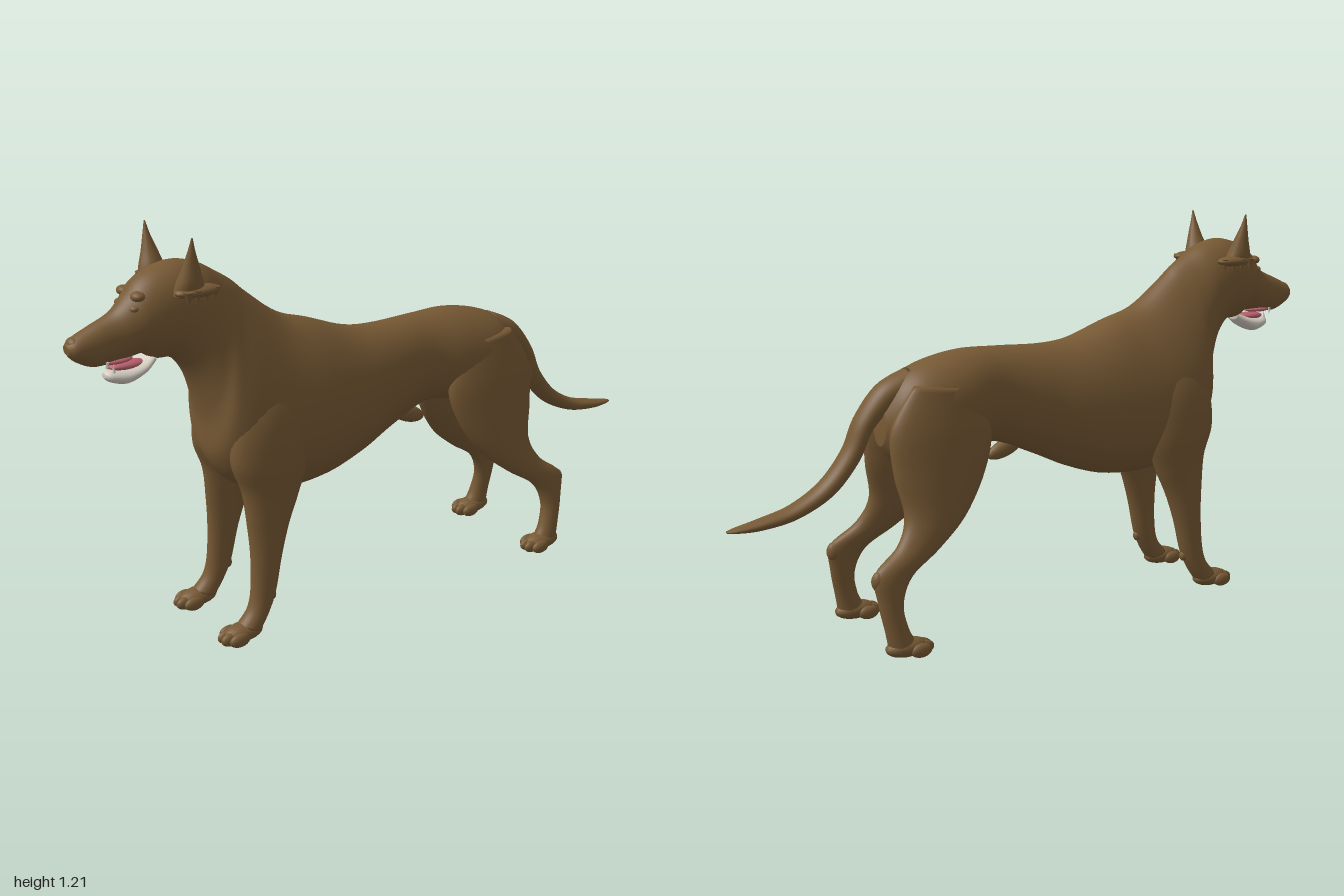
import * as THREE from 'three';

const coat = new THREE.MeshStandardMaterial({ color: 0x775934 });
coat.name = 'brown coat';
const ivory = new THREE.MeshStandardMaterial({ color: 0xd6cec2 });
ivory.name = 'ivory jaw';
const pink = new THREE.MeshStandardMaterial({ color: 0xb9616c });
pink.name = 'pink tongue';

// Smooth skin through oval sections [zA, yA, zB, yB, halfWidth, centreX, egg]:
// A and B are opposite ends of the oval in side profile; egg widens the B end.
function loft(name, sections, { side = 1, material = coat, sides = 32, steps = 6 } = {}) {
  const rows = sections.map(s => [...s, 0, 0].slice(0, 7));
  const rings = (rows.length - 1) * steps;
  const pos = [], index = [];
  const at = (i, k) => rows[Math.min(Math.max(i, 0), rows.length - 1)][k];
  for (let r = 0; r <= rings; r++) {
    const i = Math.min(Math.floor(r / steps), rows.length - 2), t = r / steps - i;
    const [zA, yA, zB, yB, w, cx, egg] = rows[0].map((_, k) => {
      const a = at(i - 1, k), b = at(i, k), c = at(i + 1, k), d = at(i + 2, k);
      return b + 0.5 * t * (c - a + t * (2 * a - 5 * b + 4 * c - d + t * (3 * (b - c) + d - a)));
    });
    for (let j = 0; j < sides; j++) {
      const a = j / sides * Math.PI * 2, c = Math.cos(a), s = Math.sin(a);
      pos.push(side * cx + w * s * (1 - egg * c),
        (yA + yB) / 2 + (yA - yB) / 2 * c, (zA + zB) / 2 + (zA - zB) / 2 * c);
    }
  }
  for (const r of [0, rings]) {
    const p = [0, 0, 0];
    for (let j = 0; j < sides; j++) for (let k = 0; k < 3; k++) p[k] += pos[(r * sides + j) * 3 + k] / sides;
    pos.push(...p);
  }
  const first = (rings + 1) * sides;
  for (let j = 0; j < sides; j++) {
    const n = (j + 1) % sides;
    for (let r = 0; r < rings; r++) {
      const a = r * sides + j, b = r * sides + n;
      index.push(a, b, a + sides, b, b + sides, a + sides);
    }
    index.push(first, n, j, first + 1, rings * sides + j, rings * sides + n);
  }
  // Turn the faces outward when the sections run the other way
  let volume = 0;
  const v = [0, 1, 2].map(() => new THREE.Vector3());
  for (let f = 0; f < index.length; f += 3) {
    v.forEach((p, k) => p.fromArray(pos, index[f + k] * 3));
    volume += v[0].dot(v[1].clone().cross(v[2]));
  }
  if (volume < 0) index.reverse();
  const g = new THREE.BufferGeometry();
  g.setAttribute('position', new THREE.Float32BufferAttribute(pos, 3));
  g.setIndex(index);
  g.computeVertexNormals();
  const mesh = new THREE.Mesh(g, material);
  mesh.name = name;
  return mesh;
}

function ball(name, [x, y, z], [rx, ry, rz], material = coat) {
  const mesh = new THREE.Mesh(new THREE.SphereGeometry(1, 20, 14), material);
  mesh.name = name;
  mesh.position.set(x, y, z);
  mesh.scale.set(rx, ry, rz);
  return mesh;
}

function spike(name, [x, y, z], r, h, material, down = false) {
  const mesh = new THREE.Mesh(new THREE.ConeGeometry(r, h, 10), material);
  mesh.name = name;
  mesh.position.set(x, y, z);
  if (down) mesh.rotation.x = Math.PI;
  return mesh;
}

// Pad and four toes, with the two middle toes reaching further forward
function paw(name, side, x, heelZ, toeZ) {
  const g = new THREE.Group();
  g.name = name;
  g.add(ball('pad', [0, 0.028, (heelZ + toeZ) / 2 - 0.012], [0.036, 0.028, (toeZ - heelZ) / 2 - 0.005]));
  for (let i = 0; i < 4; i++) {
    const middle = i === 1 || i === 2;
    g.add(ball('toe', [(i - 1.5) * 0.021, 0.021, toeZ - (middle ? 0.033 : 0.05)], [0.0145, 0.021, 0.033]));
  }
  g.position.x = side * x;
  return g;
}

export function createModel() {
  const dog = new THREE.Group();
  dog.name = 'dog';

  // Rump, trunk, neck, skull and muzzle in one skin
  dog.add(loft('body', [
    [-0.54, 0.69, -0.545, 0.58, 0.04],
    [-0.49, 0.765, -0.50, 0.53, 0.095],
    [-0.42, 0.81, -0.40, 0.53, 0.125],
    [-0.29, 0.84, -0.28, 0.54, 0.122],
    [-0.15, 0.84, -0.17, 0.55, 0.10],
    [0, 0.835, -0.03, 0.495, 0.115],
    [0.11, 0.847, 0.09, 0.44, 0.135, 0, 0.05],
    [0.24, 0.893, 0.22, 0.40, 0.15, 0, 0.12],
    [0.35, 0.93, 0.37, 0.395, 0.158, 0, 0.22],
    [0.45, 1.005, 0.515, 0.44, 0.153, 0, 0.3],
    [0.495, 1.045, 0.59, 0.535, 0.135, 0, 0.3],
    [0.54, 1.075, 0.605, 0.66, 0.112, 0, 0.15],
    [0.60, 1.11, 0.64, 0.78, 0.102],
    [0.67, 1.127, 0.69, 0.853, 0.098],
    [0.74, 1.114, 0.75, 0.865, 0.092, 0.002],
    [0.79, 1.088, 0.785, 0.886, 0.079, 0.005],
    [0.825, 1.05, 0.815, 0.884, 0.063, 0.008],
    [0.865, 1.013, 0.86, 0.878, 0.049, 0.01],
    [0.93, 0.985, 0.925, 0.874, 0.042, 0.012],
    [0.98, 0.962, 0.975, 0.897, 0.035, 0.014],
    [0.998, 0.945, 0.995, 0.918, 0.018, 0.014],
  ], { sides: 48 }));

  dog.add(loft('tail', [
    [-0.45, 0.80, -0.45, 0.71, 0.05, 0.005],
    [-0.54, 0.755, -0.495, 0.69, 0.05, 0.01],
    [-0.61, 0.665, -0.56, 0.63, 0.045, 0.015],
    [-0.65, 0.575, -0.605, 0.54, 0.042, 0.018],
    [-0.72, 0.49, -0.685, 0.45, 0.04, 0.02],
    [-0.81, 0.435, -0.795, 0.395, 0.036, 0.02],
    [-0.90, 0.41, -0.90, 0.377, 0.03, 0.02],
    [-0.97, 0.395, -0.97, 0.378, 0.02, 0.02],
    [-1.0, 0.388, -1.0, 0.382, 0.008, 0.02],
  ]));

  const sheath = ball('sheath', [0.01, 0.52, -0.12], [0.022, 0.027, 0.065]);
  sheath.rotation.x = -0.35;
  dog.add(sheath);

  // Open mouth
  dog.add(loft('lowerJaw', [
    [0.75, 0.888, 0.75, 0.855, 0.03, 0.005],
    [0.785, 0.868, 0.785, 0.83, 0.042, 0.006],
    [0.835, 0.857, 0.835, 0.811, 0.04, 0.008],
    [0.88, 0.856, 0.88, 0.822, 0.028, 0.01],
    [0.895, 0.85, 0.895, 0.835, 0.012, 0.01],
  ], { material: ivory }));
  dog.add(ball('tongue', [0.008, 0.861, 0.825], [0.027, 0.013, 0.055], pink));
  dog.add(ball('palate', [0.01, 0.882, 0.86], [0.033, 0.01, 0.05], pink));
  dog.add(ball('noseTip', [0.014, 0.945, 0.975], [0.026, 0.02, 0.02]));

  for (const side of [1, -1]) {
    // Face details
    dog.add(spike('lowerTooth', [0.01 + side * 0.022, 0.865, 0.875], 0.005, 0.025, ivory));
    dog.add(spike('upperTooth', [0.012 + side * 0.028, 0.876, 0.895], 0.005, 0.024, ivory, true));
    dog.add(ball('brow', [0.005 + side * 0.042, 1.053, 0.80], [0.024, 0.014, 0.02]));
    dog.add(ball('eyelid', [0.006 + side * 0.045, 1.022, 0.812], [0.016, 0.011, 0.016]));

    // Upright pointed ear with a ragged lower flap
    const ear = new THREE.Group();
    ear.name = side > 0 ? 'leftEar' : 'rightEar';
    ear.add(loft('earBlade', [
      [0.725, 1.05, 0.625, 1.05, 0.03, 0.105],
      [0.717, 1.085, 0.64, 1.085, 0.034, 0.109],
      [0.702, 1.13, 0.655, 1.13, 0.022, 0.12],
      [0.69, 1.175, 0.67, 1.175, 0.01, 0.13],
      [0.682, 1.21, 0.678, 1.21, 0.002, 0.136],
    ], { side, sides: 16 }));
    ear.add(ball('earFlap', [side * 0.115, 1.062, 0.66], [0.033, 0.017, 0.068]));
    for (let i = 0; i < 4; i++)
      ear.add(spike('flapPoint', [side * (0.14 - i * 0.006), 1.05, 0.70 - i * 0.029], 0.015, 0.038, coat, true));
    dog.add(ear);

    // Front leg from shoulder blade to wrist
    const front = new THREE.Group();
    front.name = side > 0 ? 'leftFrontLeg' : 'rightFrontLeg';
    front.add(loft('foreLimb', [
      [0.48, 0.82, 0.38, 0.80, 0.02, 0.09],
      [0.555, 0.68, 0.34, 0.67, 0.058, 0.108],
      [0.575, 0.55, 0.33, 0.52, 0.066, 0.112],
      [0.545, 0.45, 0.365, 0.41, 0.053, 0.115],
      [0.535, 0.35, 0.40, 0.33, 0.042, 0.121],
      [0.53, 0.25, 0.43, 0.24, 0.036, 0.127],
      [0.535, 0.15, 0.457, 0.13, 0.032, 0.131],
      [0.55, 0.09, 0.485, 0.07, 0.032, 0.134],
      [0.585, 0.05, 0.515, 0.025, 0.035, 0.136],
    ], { side }));
    front.add(ball('wristPad', [side * 0.13, 0.115, 0.468], [0.014, 0.018, 0.014]));
    front.add(paw('frontPaw', side, 0.137, 0.515, 0.65));
    dog.add(front);

    // Hind leg from thigh through hock to ankle
    const hind = new THREE.Group();
    hind.name = side > 0 ? 'leftHindLeg' : 'rightHindLeg';
    hind.add(loft('hindLimb', [
      [-0.27, 0.74, -0.47, 0.76, 0.03, 0.085],
      [-0.225, 0.61, -0.545, 0.64, 0.055, 0.088],
      [-0.255, 0.49, -0.545, 0.51, 0.058, 0.1],
      [-0.33, 0.375, -0.525, 0.395, 0.048, 0.122],
      [-0.43, 0.293, -0.56, 0.315, 0.036, 0.145],
      [-0.525, 0.23, -0.64, 0.25, 0.029, 0.162],
      [-0.56, 0.155, -0.637, 0.17, 0.026, 0.172],
      [-0.55, 0.085, -0.62, 0.08, 0.028, 0.18],
      [-0.53, 0.045, -0.61, 0.02, 0.032, 0.182],
    ], { side }));
    hind.add(ball('hock', [side * 0.162, 0.23, -0.627], [0.02, 0.03, 0.024]));
    hind.add(paw('hindPaw', side, 0.182, -0.615, -0.475));
    dog.add(hind);
  }
  return dog;
}
